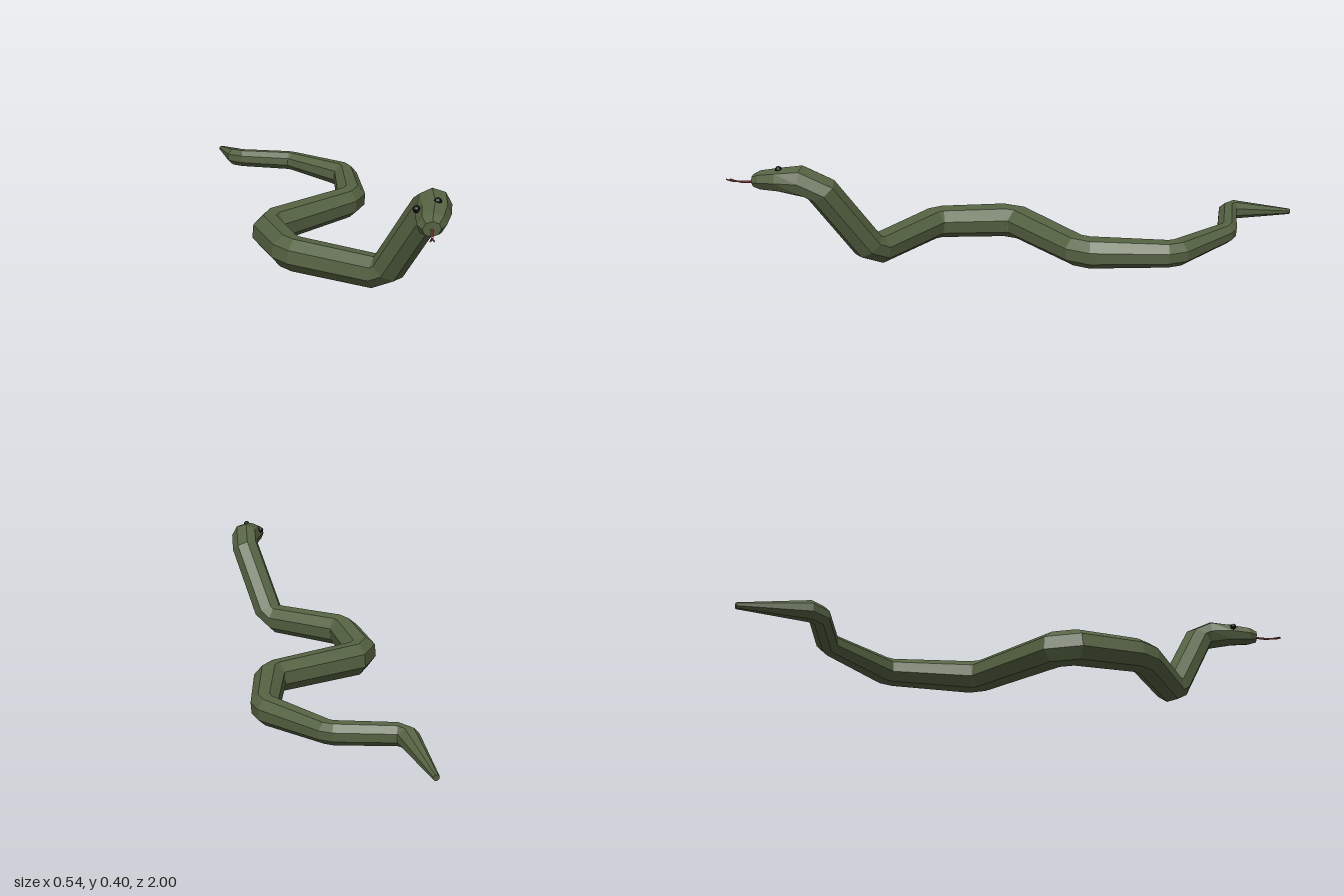
import * as THREE from 'three';

const V = (x, y, z) => new THREE.Vector3(x, y, z);
const SIDES = 8;

// Spine bends from tail tip to neck: x, y, z, radius
const SPINE = [
  [-0.11, 0.045, -1.0, 0.01],
  [-0.108, 0.074, -0.755, 0.034],
  [0.092, 0.066, -0.672, 0.036],
  [0.232, 0.063, -0.43, 0.046],
  [0.15, 0.062, -0.135, 0.054],
  [-0.217, 0.057, 0.02, 0.059],
  [-0.219, 0.072, 0.302, 0.056],
  [0.0, 0.069, 0.545, 0.053],
  [0.073, 0.35, 0.725, 0.052],
  [-0.016, 0.337, 0.912, 0.03],
];

// Head cross-sections: centre, half width, half height
const HEAD = [
  [0.024, 0.347, 0.83, 0.051, 0.04],
  [-0.005, 0.341, 0.885, 0.042, 0.033],
  [-0.016, 0.338, 0.91, 0.026, 0.022],
];
const HEAD_ROLL = 0.38;

// One octagonal ring of points around a centre
function ring(centre, side, up, w, h) {
  const pts = [];
  for (let j = 0; j < SIDES; j++) {
    const a = ((j + 0.5) / SIDES) * Math.PI * 2;
    pts.push(centre.clone()
      .addScaledVector(side, Math.cos(a) * w)
      .addScaledVector(up, Math.sin(a) * h));
  }
  return pts;
}

// Skin a list of rings and close both ends
function loft(rings) {
  const pos = [], index = [];
  rings.forEach((r) => r.forEach((p) => pos.push(p.x, p.y, p.z)));
  const last = (rings.length - 1) * SIDES;
  for (const r of [rings[0], rings[rings.length - 1]]) {
    const c = r.reduce((s, p) => s.add(p), V(0, 0, 0)).divideScalar(SIDES);
    pos.push(c.x, c.y, c.z);
  }
  const c0 = rings.length * SIDES;
  for (let j = 0; j < SIDES; j++) {
    const k = (j + 1) % SIDES;
    for (let i = 0; i < last; i += SIDES) {
      index.push(i + j, i + k, i + SIDES + k, i + j, i + SIDES + k, i + SIDES + j);
    }
    index.push(c0, k, j, c0 + 1, last + j, last + k);
  }
  const geo = new THREE.BufferGeometry();
  geo.setAttribute('position', new THREE.Float32BufferAttribute(pos, 3));
  geo.setIndex(index);
  geo.computeVertexNormals();
  return geo;
}

function bodyRings() {
  const p = SPINE.map((s) => V(s[0], s[1], s[2]));
  const dirs = p.slice(1).map((q, i) => q.clone().sub(p[i]).normalize());
  const side = V(0, 1, 0).cross(dirs[0]).normalize();
  const rings = [];
  const add = (c, dir, r) => rings.push(ring(c, side, dir.clone().cross(side), r, r));
  add(p[0], dirs[0], SPINE[0][3]);
  // Each bend has two rings that meet on its inside and open on its outside
  for (let i = 1; i < p.length - 1; i++) {
    const r = SPINE[i][3], a = dirs[i - 1], b = dirs[i];
    const d = r * Math.tan(a.angleTo(b) / 2) * 0.98;
    add(p[i].clone().addScaledVector(a, -d), a, r);
    side.applyQuaternion(new THREE.Quaternion().setFromUnitVectors(a, b));
    add(p[i].clone().addScaledVector(b, d), b, r);
  }
  // Head, rolled slightly to its right
  const dir = dirs[dirs.length - 1];
  const flat = V(0, 1, 0).cross(dir).normalize();
  const headSide = flat.applyAxisAngle(dir, HEAD_ROLL);
  const headUp = dir.clone().cross(headSide);
  for (const [x, y, z, w, h] of HEAD) rings.push(ring(V(x, y, z), headSide, headUp, w, h));
  return rings;
}

export function createModel() {
  const model = new THREE.Group();
  const mat = (color) => new THREE.MeshStandardMaterial({ color, flatShading: true });
  const add = (name, geo, material, parent = model) => {
    const m = new THREE.Mesh(geo, material);
    m.name = name;
    parent.add(m);
    return m;
  };

  // Body, neck and head in one skin
  add('body', loft(bodyRings()), mat(0x566343));

  // Eyes
  const black = mat(0x080808);
  add('leftEye', new THREE.IcosahedronGeometry(0.011, 1), black).position.set(0.035, 0.386, 0.833);
  add('rightEye', new THREE.IcosahedronGeometry(0.011, 1), black).position.set(-0.018, 0.362, 0.812);

  // Forked tongue
  const tongue = new THREE.Group();
  tongue.name = 'tongue';
  model.add(tongue);
  const red = mat(0x8a3a3a);
  const strand = (name, r, ...pts) => add(name,
    new THREE.TubeGeometry(new THREE.CatmullRomCurve3(pts), 5, r, 5), red, tongue);
  const fork = V(-0.036, 0.331, 0.955);
  strand('tongueStem', 0.004, V(-0.012, 0.338, 0.9), V(-0.025, 0.332, 0.93), fork);
  strand('tongueLeftTip', 0.0025, fork, V(-0.041, 0.333, 0.98), V(-0.047, 0.339, 1.0));
  strand('tongueRightTip', 0.0025, fork, V(-0.047, 0.332, 0.972), V(-0.057, 0.335, 0.988));

  return model;
}
